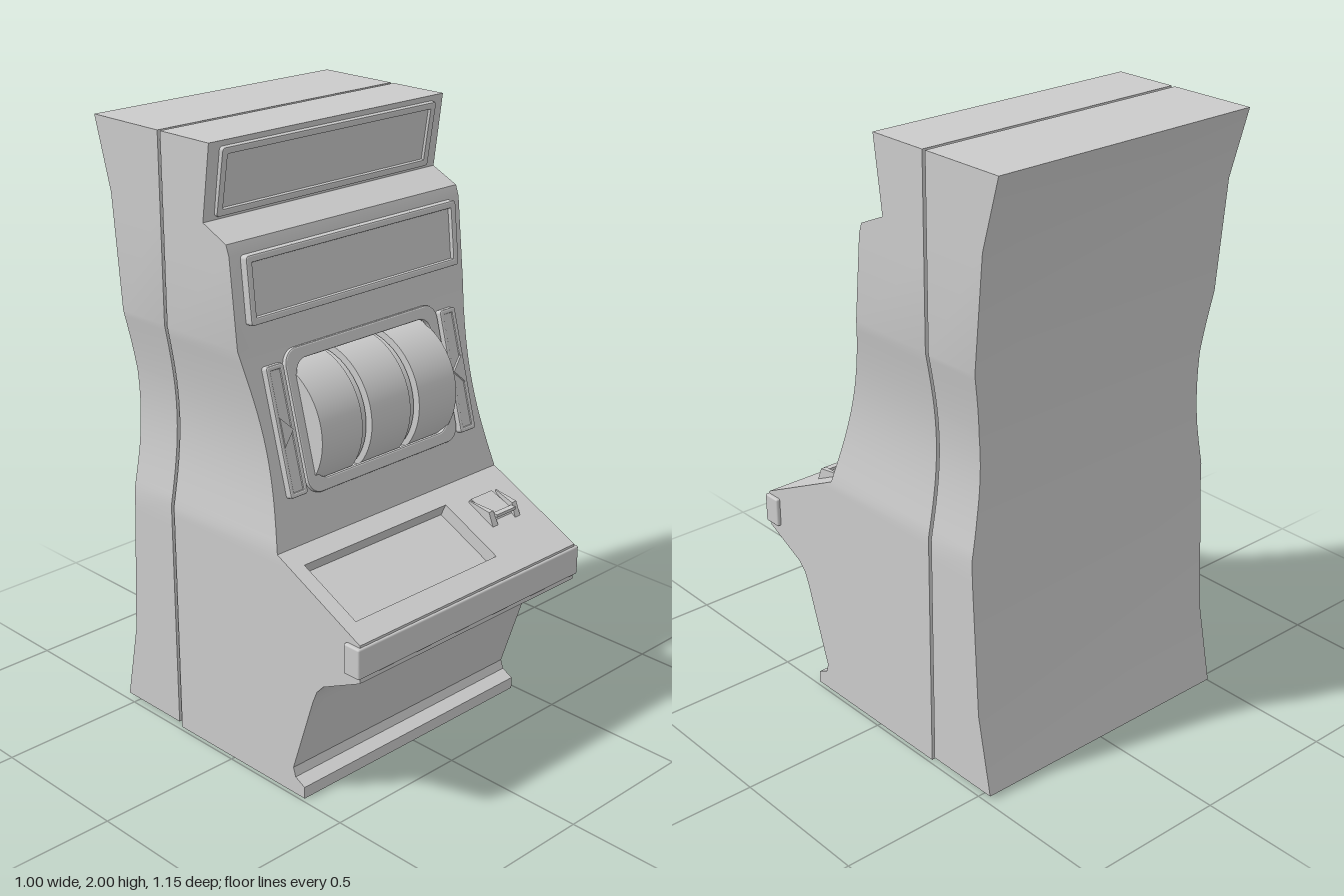
import * as THREE from 'three';
import { toCreasedNormals } from 'three/addons/utils/BufferGeometryUtils.js';
import { RoundedBoxGeometry } from 'three/addons/geometries/RoundedBoxGeometry.js';
import { ConvexGeometry } from 'three/addons/geometries/ConvexGeometry.js';

const grey = new THREE.MeshStandardMaterial({ color: 0xcccccc });
const V = (x, y, z) => new THREE.Vector3(x, y, z);

// Side profiles as [y, z], listed from the floor up
const FRONT = [[0, 0.33], [0.04, 0.33], [0.06, 0.29], [0.09, 0.28], [0.36, 0.37], [0.4, 0.387],
  [0.43, 0.415], [0.505, 0.57], [0.63, 0.57], [0.8, 0.22], [1.33, 0.077], [1.4, 0.06],
  [1.68, 0.032], [1.715, 0.02], [1.76, -0.08], [2, -0.045]];
const BACK = [[0.015, -0.54], [0.28, -0.487], [0.73, -0.462], [0.95, -0.456], [1.2, -0.458],
  [1.38, -0.475], [1.77, -0.51], [2, -0.575]];
const SLOPE = Math.atan(0.143 / 0.53); // lean of the reel face

function follow(profile) {
  return (y) => {
    let i = 1;
    while (i < profile.length - 1 && y > profile[i][0]) i++;
    const [y0, z0] = profile[i - 1], [y1, z1] = profile[i];
    return z0 + (z1 - z0) * (y - y0) / (y1 - y0);
  };
}

// Half width, pinched at the waist
const halfWidth = (y) => 0.487 - (y > 0.8 && y < 1.4 ? 0.036 * Math.sin(Math.PI * (y - 0.8) / 0.6) : 0);

// Stack of rectangular sections between a front and a back profile, with sunken openings in the front
function loft(frontZ, backZ, levels, inset = 0, openings = []) {
  const pos = [];
  const quad = (a, b, c, d) => [a, b, c, a, c, d].forEach((p) => pos.push(p.x, p.y, p.z));
  const bottom = Math.min(...levels), top = Math.max(...levels);
  const rows = [...levels, ...openings.flatMap((o) => [o.y0, o.y1])];
  for (let i = 0; i <= 16; i++) rows.push(0.8 + 0.6 * i / 16);
  const ys = [...new Set(rows.map((y) => +y.toFixed(4)))].sort((a, b) => a - b);
  const cols = openings.flatMap((o) => [o.x0, o.x1]).sort((a, b) => a - b);
  const F = (x, y) => V(x, y, frontZ(y));
  const B = (x, y) => V(x, y, backZ(y));
  const w = (y) => halfWidth(y) - inset;

  for (let i = 0; i < ys.length - 1; i++) {
    const y0 = ys[i], y1 = ys[i + 1], a = w(y0), b = w(y1);
    const lo = [-a, ...cols, a], hi = [-b, ...cols, b];
    for (let j = 0; j < lo.length - 1; j++) {
      const mx = (lo[j] + lo[j + 1]) / 2, my = (y0 + y1) / 2;
      if (openings.some((o) => mx > o.x0 && mx < o.x1 && my > o.y0 && my < o.y1)) continue;
      quad(F(lo[j], y0), F(lo[j + 1], y0), F(hi[j + 1], y1), F(hi[j], y1));
    }
    quad(F(a, y0), B(a, y0), B(b, y1), F(b, y1));
    quad(B(-a, y0), F(-a, y0), F(-b, y1), B(-b, y1));
    quad(B(a, y0), B(-a, y0), B(-b, y1), B(b, y1));
  }
  const a = w(bottom), b = w(top);
  quad(B(-a, bottom), B(a, bottom), F(a, bottom), F(-a, bottom));
  quad(F(-b, top), F(b, top), B(b, top), B(-b, top));

  // Floor and walls of each opening
  for (const { x0, x1, y0, y1, depth } of openings) {
    const rim = [F(x0, y0), F(x1, y0), F(x1, y1), F(x0, y1)];
    const inward = V(0, frontZ(y1) - frontZ(y0), y0 - y1).normalize().multiplyScalar(depth);
    const floor = rim.map((p) => p.clone().add(inward));
    quad(...floor);
    for (let k = 0; k < 4; k++) quad(rim[k], rim[(k + 1) % 4], floor[(k + 1) % 4], floor[k]);
  }
  const geo = new THREE.BufferGeometry();
  geo.setAttribute('position', new THREE.Float32BufferAttribute(pos, 3));
  return toCreasedNormals(geo, 0.4);
}

function roundedRect(path, w, h, r) {
  const x = w / 2, y = h / 2;
  path.moveTo(-x + r, -y).lineTo(x - r, -y);
  path.absarc(x - r, -y + r, r, -Math.PI / 2, 0);
  path.absarc(x - r, y - r, r, 0, Math.PI / 2);
  path.absarc(-x + r, y - r, r, Math.PI / 2, Math.PI);
  path.absarc(-x + r, -y + r, r, Math.PI, Math.PI * 1.5);
  return path;
}

export function createModel() {
  const model = new THREE.Group();
  const add = (name, geo, parent = model, x = 0, y = 0, z = 0) => {
    const mesh = new THREE.Mesh(geo, grey);
    mesh.name = name;
    mesh.position.set(x, y, z);
    parent.add(mesh);
    return mesh;
  };
  const tilted = (name, x, y, z, tilt) => {
    const group = new THREE.Group();
    group.name = name;
    group.position.set(x, y, z);
    group.rotation.x = tilt;
    model.add(group);
    return group;
  };
  // Bevelled border, optionally filled with a flat plate
  const frame = (parent, w, h, r, border, depth, plate, innerR = r) => {
    const bev = 0.005;
    const shape = roundedRect(new THREE.Shape(), w - 2 * bev, h - 2 * bev, r);
    shape.holes.push(roundedRect(new THREE.Path(), w - 2 * border, h - 2 * border, innerR));
    add('border', new THREE.ExtrudeGeometry(shape, {
      depth: depth - bev, bevelSize: bev, bevelThickness: bev, bevelSegments: 2, curveSegments: 8,
    }), parent);
    if (plate) add('plate', new THREE.BoxGeometry(w - border, h - border, 0.02), parent, 0, 0, plate - 0.01);
  };

  const frontZ = follow(FRONT), backZ = follow(BACK);

  // Cabinet halves with a narrow core in the seam
  add('cabinet', loft(frontZ, () => -0.262, FRONT.map((p) => p[0]), 0, [
    { x0: -0.435, x1: 0.185, y0: 0.664, y1: 0.77, depth: 0.045 },
    { x0: -0.3, x1: 0.3, y0: 0.962, y1: 1.33, depth: 0.1 },
  ]));
  add('backShell', loft(() => -0.275, backZ, BACK.map((p) => p[0])));
  add('seamCore', loft(() => -0.25, () => -0.29, [0.02, 1.99], 0.018));

  // Sign panels
  frame(tilted('topSign', 0, 1.877, frontZ(1.877), 0.165), 0.89, 0.215, 0.006, 0.018, 0.014, 0.003);
  frame(tilted('middleSign', 0, 1.573, frontZ(1.573), -0.1), 0.89, 0.21, 0.006, 0.018, 0.026, 0.012);

  // Reel window and reels
  frame(tilted('reelWindow', 0.003, 1.148, frontZ(1.148), -SLOPE), 0.66, 0.45, 0.045, 0.034, 0.014, 0, 0.05);
  const drum = (r, w) => new THREE.CylinderGeometry(r, r, w, 64).rotateZ(Math.PI / 2);
  for (const i of [-1, 0, 1]) add('reel', drum(0.22, 0.17), model, i * 0.21, 1.1, -0.005);
  for (const s of [-1, 1]) add('reelDivider', drum(0.205, 0.02), model, s * 0.105, 1.1, -0.005);

  // Arrow panels either side of the window
  for (const s of [-1, 1]) {
    const panel = tilted(s < 0 ? 'rightArrowPanel' : 'leftArrowPanel', s * 0.375, 1.14, frontZ(1.14), -SLOPE);
    frame(panel, 0.07, 0.405, 0.005, 0.011, 0.022, 0.017);
    const arrow = new THREE.Shape([[0.022, -0.045], [0.022, 0.045], [-0.022, 0]].map(
      ([x, y]) => new THREE.Vector2(s * x, y)));
    add('arrow', new THREE.ExtrudeGeometry(arrow, { depth: 0.012, bevelEnabled: false }), panel, 0, 0, 0.013);
  }

  // Bumper along the deck edge
  add('bumper', new RoundedBoxGeometry(1, 0.1, 0.065, 2, 0.006), model, 0, 0.572, 0.5455);

  // Coin slot: a low ramp between two tapered fins, with a bar across the mouth
  const slot = new THREE.Group();
  slot.name = 'coinSlot';
  slot.position.x = 0.335;
  model.add(slot);
  for (const s of [-1, 1]) {
    add('fin', new ConvexGeometry([
      V(s * 0.066, 0.69, 0.418), V(s * 0.04, 0.69, 0.418), V(s * 0.066, 0.752, 0.392), V(s * 0.045, 0.752, 0.392),
      V(s * 0.066, 0.766, 0.305), V(s * 0.062, 0.766, 0.305), V(s * 0.066, 0.7, 0.305),
    ]), slot);
  }
  add('ramp', new ConvexGeometry([-0.05, 0.05].flatMap((x) => [
    V(x, 0.69, 0.405), V(x, 0.732, 0.385), V(x, 0.765, 0.3), V(x, 0.69, 0.3)])), slot);
  add('mouthBar', new THREE.BoxGeometry(0.09, 0.01, 0.02), slot, 0, 0.738, 0.398);

  return model;
}
